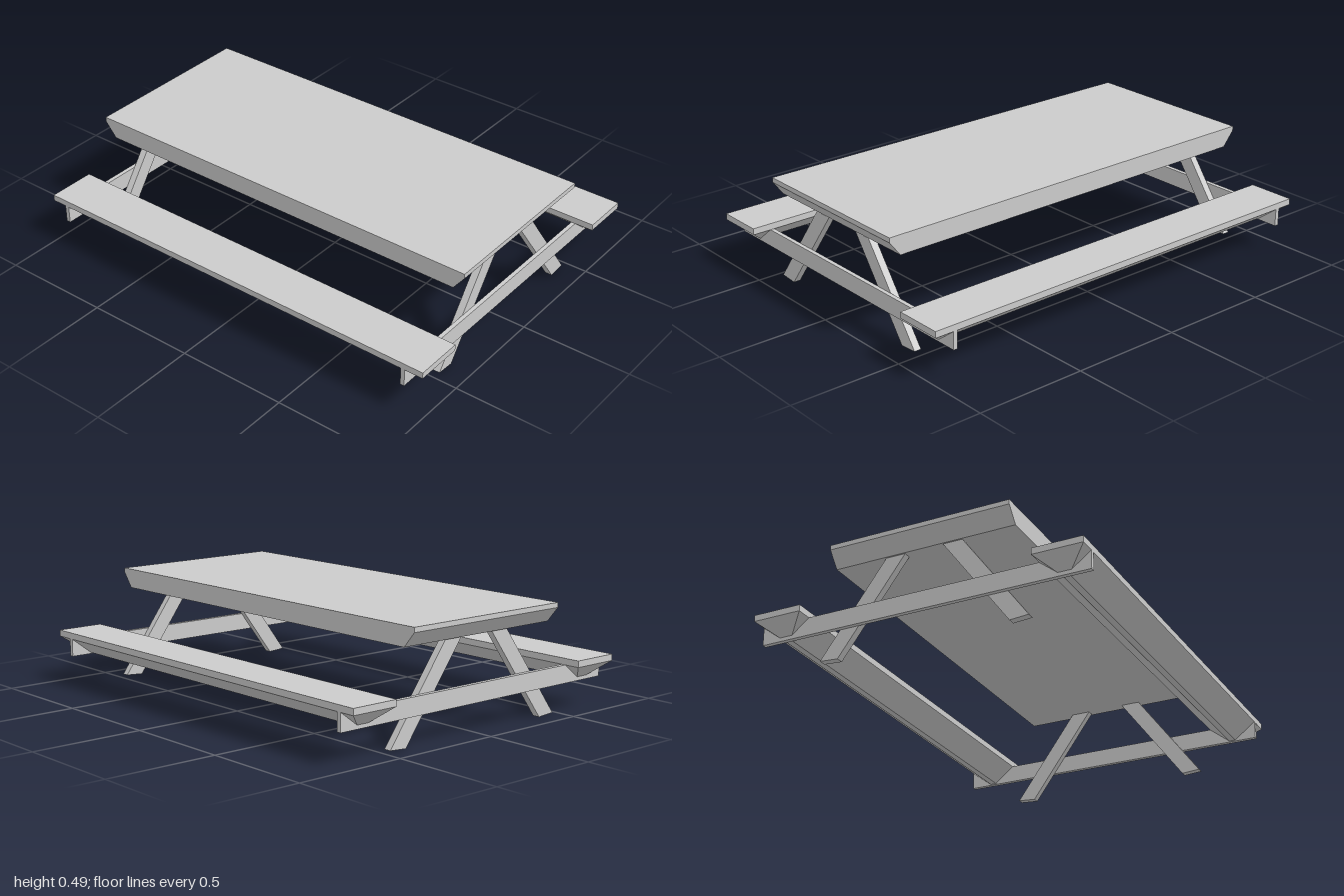
import * as THREE from 'three';

const material = new THREE.MeshStandardMaterial({ color: 0xcccccc, flatShading: true });

// Box between two corners; the lower face can be pulled in to its own x and z range.
function plank(name, [x0, x1], [y0, y1], [z0, z1], bottomX = [x0, x1], bottomZ = [z0, z1]) {
  const geometry = new THREE.BoxGeometry(1, 1, 1);
  const p = geometry.attributes.position;
  for (let i = 0; i < p.count; i++) {
    const low = p.getY(i) < 0;
    const xs = low ? bottomX : [x0, x1];
    const zs = low ? bottomZ : [z0, z1];
    p.setXYZ(i, xs[p.getX(i) < 0 ? 0 : 1], low ? y0 : y1, zs[p.getZ(i) < 0 ? 0 : 1]);
  }
  geometry.computeVertexNormals();
  const mesh = new THREE.Mesh(geometry, material);
  mesh.name = name;
  return mesh;
}

// Slanted leg, extruded in z from its front outline
function leg(name, side, z0, z1) {
  const outline = [[0.385, 0], [0.468, 0.006], [0.174, 0.406], [0.086, 0.406]];
  const shape = new THREE.Shape(outline.map(([x, y]) => new THREE.Vector2(side * x, y)));
  const geometry = new THREE.ExtrudeGeometry(shape, { depth: z1 - z0, bevelEnabled: false });
  geometry.translate(0, 0, z0);
  const mesh = new THREE.Mesh(geometry, material);
  mesh.name = name;
  return mesh;
}

export function createModel() {
  const model = new THREE.Group();
  model.name = 'picnicTable';

  // Table top: flat slab with an apron whose ends slope inwards
  const top = new THREE.Group();
  top.name = 'tableTop';
  const width = [-0.414, 0.406];
  top.add(
    plank('topBoard', width, [0.47, 0.491], [-0.973, 0.957]),
    plank('topApron', width, [0.405, 0.47], [-0.973, 0.957], width, [-0.918, 0.907]),
  );
  model.add(top);

  // Benches: seat board over a hull that tapers on all four sides
  for (const [side, label] of [[1, 'left'], [-1, 'right']]) {
    const bench = new THREE.Group();
    bench.name = label + 'Bench';
    const range = (a, b) => (side > 0 ? [a, b] : [-b, -a]);
    const seat = range(0.521, 0.74);
    bench.add(
      plank('seatBoard', seat, [0.206, 0.234], [-1, 1]),
      plank('seatUnderside', seat, [0.132, 0.206], [-1, 1], range(0.613, 0.642), [-0.917, 0.912]),
    );
    model.add(bench);
  }

  // End frames: cross rail outside a pair of splayed legs
  const frames = [
    ['front', [0.896, 0.915], [0.865, 0.897]],
    ['back', [-0.93, -0.91], [-0.911, -0.878]],
  ];
  for (const [label, railZ, legZ] of frames) {
    const frame = new THREE.Group();
    frame.name = label + 'Frame';
    frame.add(
      plank('crossRail', [-0.74, 0.74], [0.127, 0.206], railZ),
      leg('leftLeg', 1, ...legZ),
      leg('rightLeg', -1, ...legZ),
    );
    model.add(frame);
  }
  return model;
}
